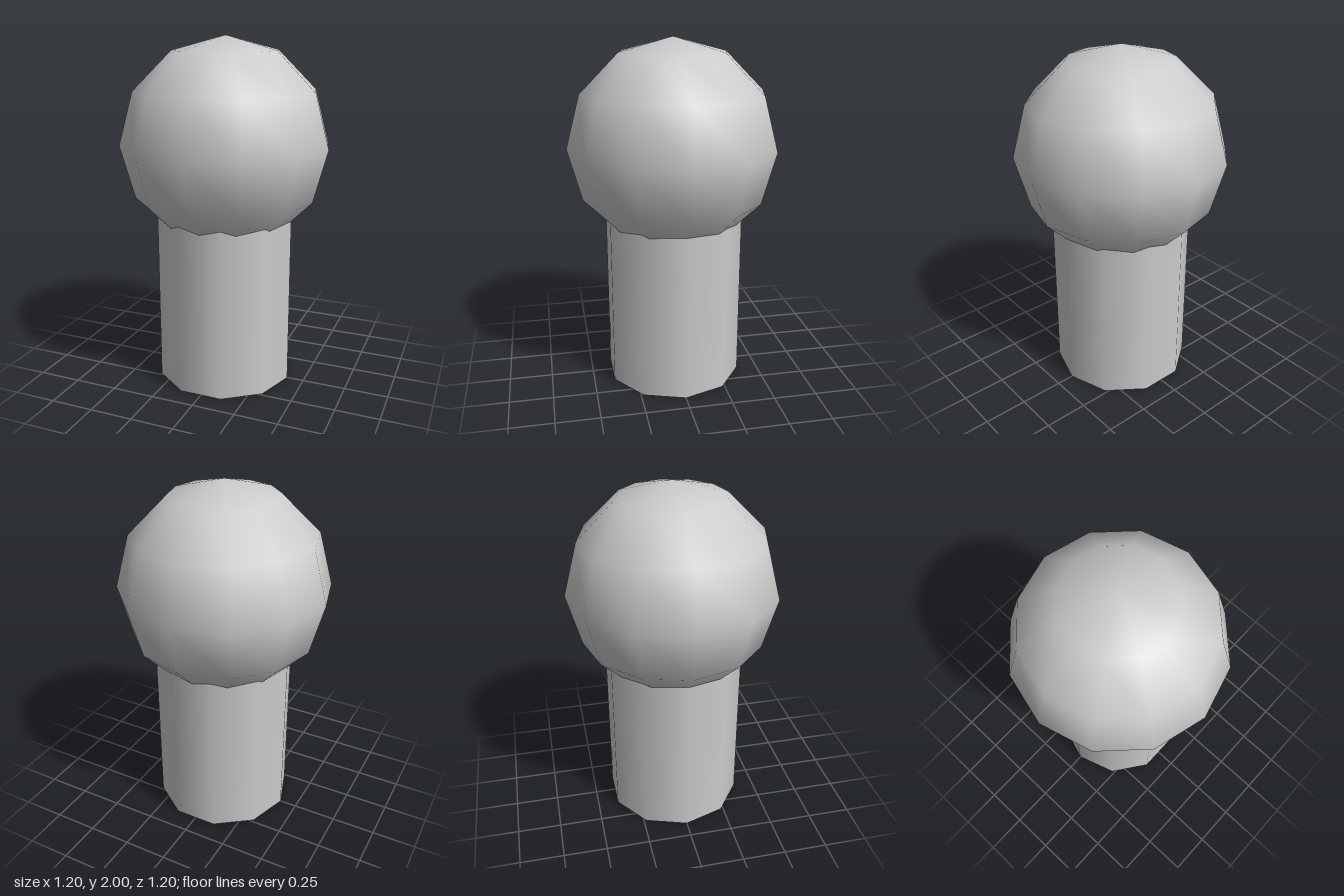
import * as THREE from 'three';

export function createModel() {
  const group = new THREE.Group();
  const material = new THREE.MeshStandardMaterial({ color: 0xcccccc });

  function addPart(name, geometry, y) {
    const mesh = new THREE.Mesh(geometry, material);
    mesh.name = name;
    mesh.position.y = y;
    group.add(mesh);
  }

  // Ten-sided post with a corner on the x axis, its top hidden in the ball
  const postHeight = 1.1;
  addPart('post', new THREE.CylinderGeometry(0.4, 0.4, postHeight, 10, 1, false, Math.PI / 2), postHeight / 2);

  // Coarse smooth-shaded ball on top
  addPart('ball', new THREE.SphereGeometry(0.6, 12, 6), 1.4);

  return group;
}
